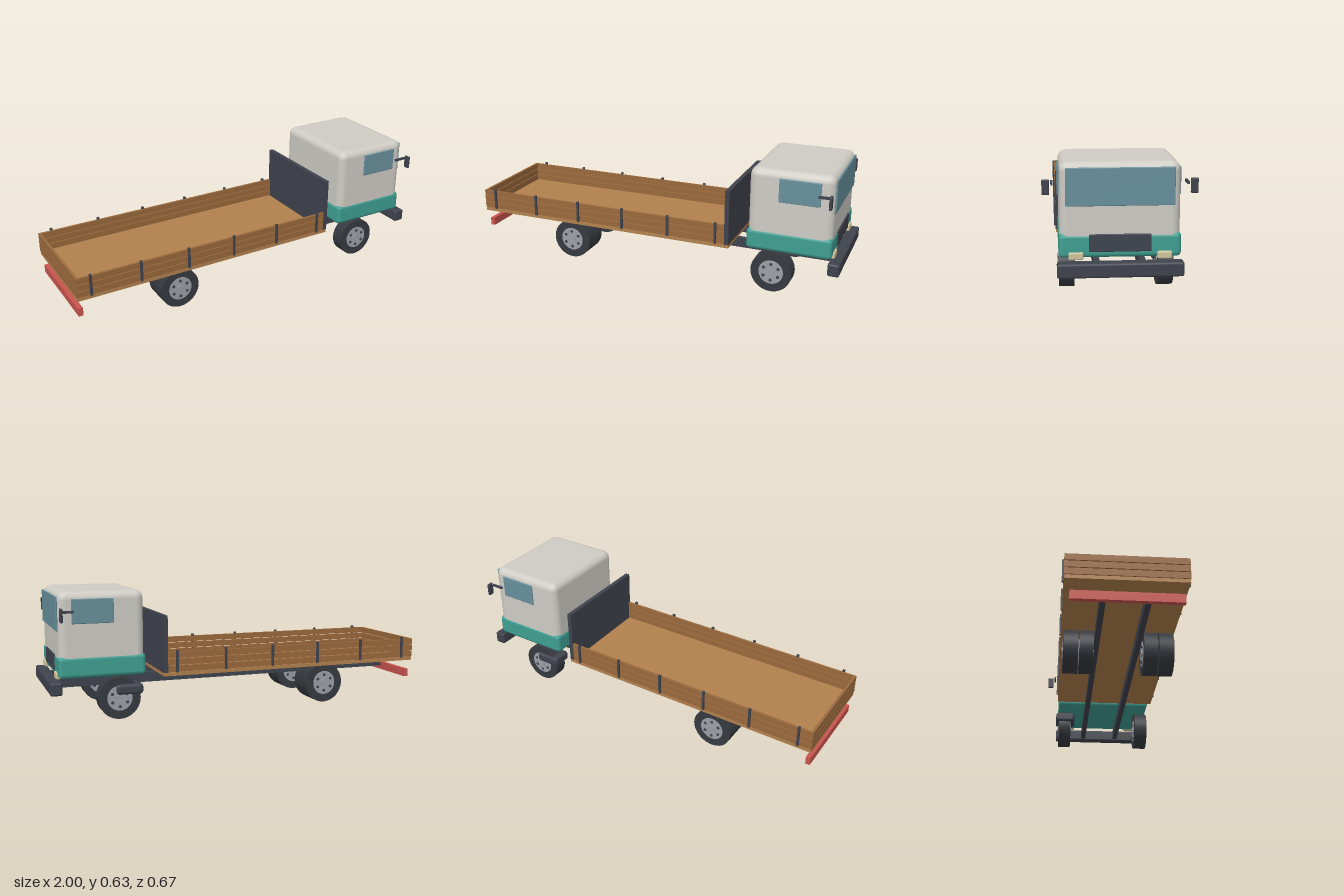
import * as THREE from 'three';
import { RoundedBoxGeometry } from 'three/addons/geometries/RoundedBoxGeometry.js';

const mat = (name, color, opts = {}) => {
  const m = new THREE.MeshStandardMaterial({ color, ...opts });
  m.name = name;
  return m;
};

export function createModel() {
  const truck = new THREE.Group();
  truck.name = 'flatbedTruck';
  const white = mat('cabWhite', 0xcfccc5);
  const teal = mat('tealPaint', 0x3f9f92);
  const dark = mat('darkSteel', 0x3f434d);
  const rubber = mat('tyreRubber', 0x363a40);
  const rim = mat('rimGrey', 0x9ca1a8);
  const glass = mat('windowGlass', 0x68909c);
  const deckWood = mat('deckWood', 0xb2814e);
  const plankWood = mat('plankWood', 0x9a693c);
  const red = mat('redPaint', 0xc9544d);
  const lamp = mat('lampCream', 0xd1c59b);

  const add = (name, geometry, material, parent = truck) => {
    const mesh = new THREE.Mesh(geometry, material);
    mesh.name = name;
    parent.add(mesh);
    return mesh;
  };
  // Box given by its extents; r > 0 rounds the edges
  const box = (name, material, [x0, x1], [y0, y1], [z0, z1], r = 0, parent = truck) => {
    const s = [x1 - x0, y1 - y0, z1 - z0];
    const g = r ? new RoundedBoxGeometry(...s, 2, r) : new THREE.BoxGeometry(...s);
    const mesh = add(name, g, material, parent);
    mesh.position.set((x0 + x1) / 2, (y0 + y1) / 2, (z0 + z1) / 2);
    return mesh;
  };
  // Extents mirrored to the side s = 1 or -1
  const side = (s, a, b) => (s > 0 ? [a, b] : [-b, -a]);

  // Chassis
  for (const s of [1, -1]) box('chassisRail', dark, [-0.9, 0.95], [0.147, 0.197], side(s, 0.088, 0.114));
  box('frontBumper', dark, [0.942, 1], [0.137, 0.202], [-0.275, 0.275], 0.01);
  box('rearGuard', red, [-0.993, -0.969], [0.103, 0.145], [-0.25, 0.25]);
  box('fuelTank', dark, [0.545, 0.68], [0.121, 0.173], [-0.28, -0.17], 0.015);

  // Load bed with planked walls and stakes
  box('bedFloor', deckWood, [-0.998, 0.44], [0.199, 0.217], [-0.273, 0.273]);
  box('headboard', dark, [0.418, 0.441], [0.217, 0.504], [-0.275, 0.275]);
  for (let i = 0; i < 3; i++) {
    const y = [0.219 + i * 0.035, 0.25 + i * 0.035];
    for (const s of [1, -1]) box('sidePlank', plankWood, [-1, 0.418], y, side(s, 0.262, 0.275));
    box('tailPlank', plankWood, [-1, -0.987], y, [-0.262, 0.262]);
  }
  for (let i = 0; i < 6; i++) {
    const x = -0.929 + i * 0.26;
    for (const s of [1, -1]) box('sideStake', dark, [x - 0.006, x + 0.006], [0.218, 0.33], side(s, 0.271, 0.283));
  }

  // Cab
  box('cabUpper', white, [0.532, 0.953], [0.25, 0.635], [-0.263, 0.263], 0.04);
  box('cabLower', teal, [0.527, 0.956], [0.215, 0.322], [-0.267, 0.267], 0.02);
  box('windshield', glass, [0.951, 0.96], [0.445, 0.612], [-0.236, 0.236], 0.004);
  box('grille', dark, [0.953, 0.962], [0.243, 0.322], [-0.135, 0.135], 0.004);
  for (const s of [1, -1]) {
    box('sideWindow', glass, [0.685, 0.89], [0.48, 0.6], side(s, 0.262, 0.271), 0.004);
    box('headlight', lamp, [0.94, 0.966], [0.209, 0.243], side(s, 0.16, 0.225), 0.007);
    box('mirrorArm', dark, [0.883, 0.948], [0.535, 0.547], side(s, 0.288, 0.298));
    box('mirror', dark, [0.94, 0.954], [0.495, 0.562], side(s, 0.303, 0.336), 0.005);
  }

  // Wheels: tyre, rim disc, hub cap and ring of holes on both faces
  const R = 0.105;
  const drum = (r, w, n) => new THREE.CylinderGeometry(r, r, w, n).rotateX(Math.PI / 2);
  const wheel = (name, x, z0, z1) => {
    const w = z1 - z0;
    const g = new THREE.Group();
    g.name = name;
    g.position.set(x, R, (z0 + z1) / 2);
    add('tyre', drum(R, w, 40), rubber, g);
    add('rim', drum(0.063, w + 0.004, 32), rim, g);
    add('hubCap', drum(0.02, w + 0.012, 20), rim, g);
    for (let i = 0; i < 6; i++) {
      const a = Math.PI / 6 + i * Math.PI / 3;
      add('wheelBolt', drum(0.008, w + 0.009, 10), dark, g).position.set(0.043 * Math.cos(a), 0.043 * Math.sin(a), 0);
    }
    truck.add(g);
  };
  for (const s of [1, -1]) {
    wheel('frontWheel', 0.663, ...side(s, 0.193, 0.264));
    wheel('rearOuterWheel', -0.457, ...side(s, 0.193, 0.264));
    wheel('rearInnerWheel', -0.457, ...side(s, 0.12, 0.187));
  }
  return truck;
}
